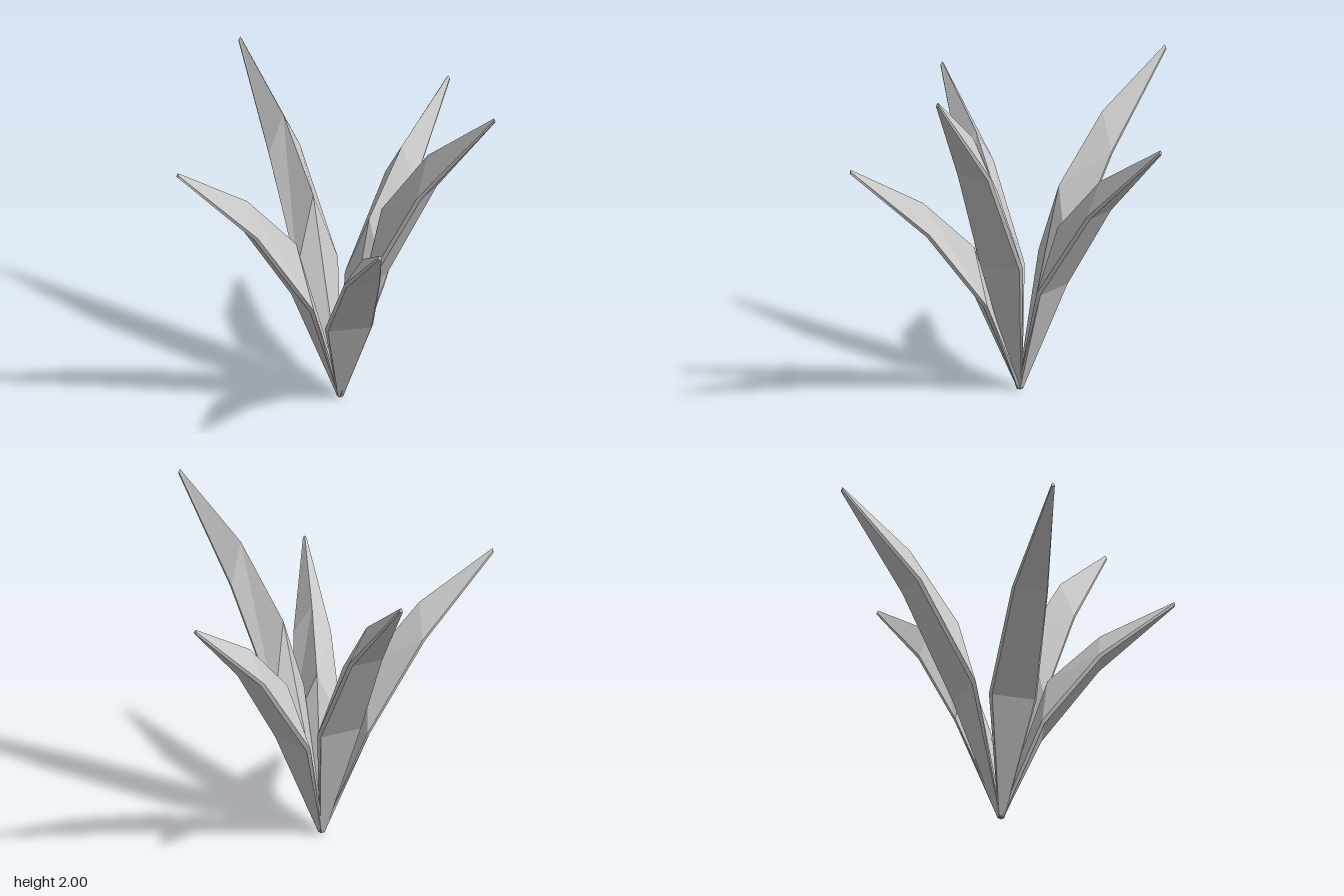
import * as THREE from 'three';

// Common foot of all leaves
const BASE = new THREE.Vector3(-0.05, 0, 0.085);

// Tip of each leaf
const TIPS = [
  ['leftLeaf', 0.94, 2.0, 0.08],
  ['backLeaf', 0.11, 1.625, -0.905],
  ['rightBackLeaf', -0.94, 1.855, -0.37],
  ['rightFrontLeaf', -0.65, 1.635, 0.905],
  ['leftFrontLeaf', 0.605, 1.38, 0.82],
];

// Stations along a leaf: reach and height of the ridge, then of the edges
// (fractions of the tip), then half width of the blade
const STATIONS = [
  { ridge: [0.0, 0.012], edge: [0.0, 0.012], half: 0.016 },
  { ridge: [0.268, 0.625], edge: [0.225, 0.4], half: 0.14 },
  { ridge: [0.567, 0.832], edge: [0.555, 0.717], half: 0.106 },
  { ridge: [0.995, 1.0], edge: [0.995, 0.992], half: 0.01 },
];

// A leaf is a tent-shaped blade with a thin chamfered rim and a flat underside
function leafGeometry(x, y, z) {
  const out = new THREE.Vector3(x - BASE.x, 0, z - BASE.z);
  const reach = out.length();
  out.normalize();
  const side = new THREE.Vector3(-out.z, 0, out.x);
  const len = Math.hypot(reach, y);
  const rim = 0.02;
  const rimOut = (rim * y) / len, rimDown = (rim * reach) / len;

  const point = (r, h, s) =>
    BASE.clone().addScaledVector(out, r).addScaledVector(side, s).setY(Math.max(0, h));

  const positions = [];
  for (const { ridge, edge, half } of STATIONS) {
    const er = edge[0] * reach, eh = edge[1] * y;
    const atBase = edge[0] === 0;
    const br = er + (atBase ? 0.012 : edge[0] > 0.9 ? 0.005 : rimOut);
    const bh = eh - (atBase ? eh : rimDown);
    const under = half * 0.9;
    for (const p of [
      point(ridge[0] * reach - (atBase ? 0.012 : 0), ridge[1] * y, 0),
      point(er, eh, half),
      point(br, bh, under),
      point(br, bh, -under),
      point(er, eh, -half),
    ]) positions.push(p.x, p.y, p.z);
  }

  const n = 5, index = [];
  for (let i = 0; i < STATIONS.length - 1; i++) {
    for (let j = 0; j < n; j++) {
      const a = i * n + j, b = i * n + ((j + 1) % n);
      index.push(a, b, b + n, a, b + n, a + n);
    }
  }
  // End caps
  const last = (STATIONS.length - 1) * n;
  for (let j = 1; j < n - 1; j++) {
    index.push(0, j + 1, j);
    index.push(last, last + j, last + j + 1);
  }

  const indexed = new THREE.BufferGeometry();
  indexed.setAttribute('position', new THREE.Float32BufferAttribute(positions, 3));
  indexed.setIndex(index);
  const geometry = indexed.toNonIndexed();
  geometry.computeVertexNormals();
  return geometry;
}

export function createModel() {
  const group = new THREE.Group();
  group.name = 'leafCluster';
  const leafGrey = new THREE.MeshStandardMaterial({ color: 0xcccccc });
  leafGrey.name = 'leafGrey';
  for (const [name, x, y, z] of TIPS) {
    const leaf = new THREE.Mesh(leafGeometry(x, y, z), leafGrey);
    leaf.name = name;
    group.add(leaf);
  }
  return group;
}
